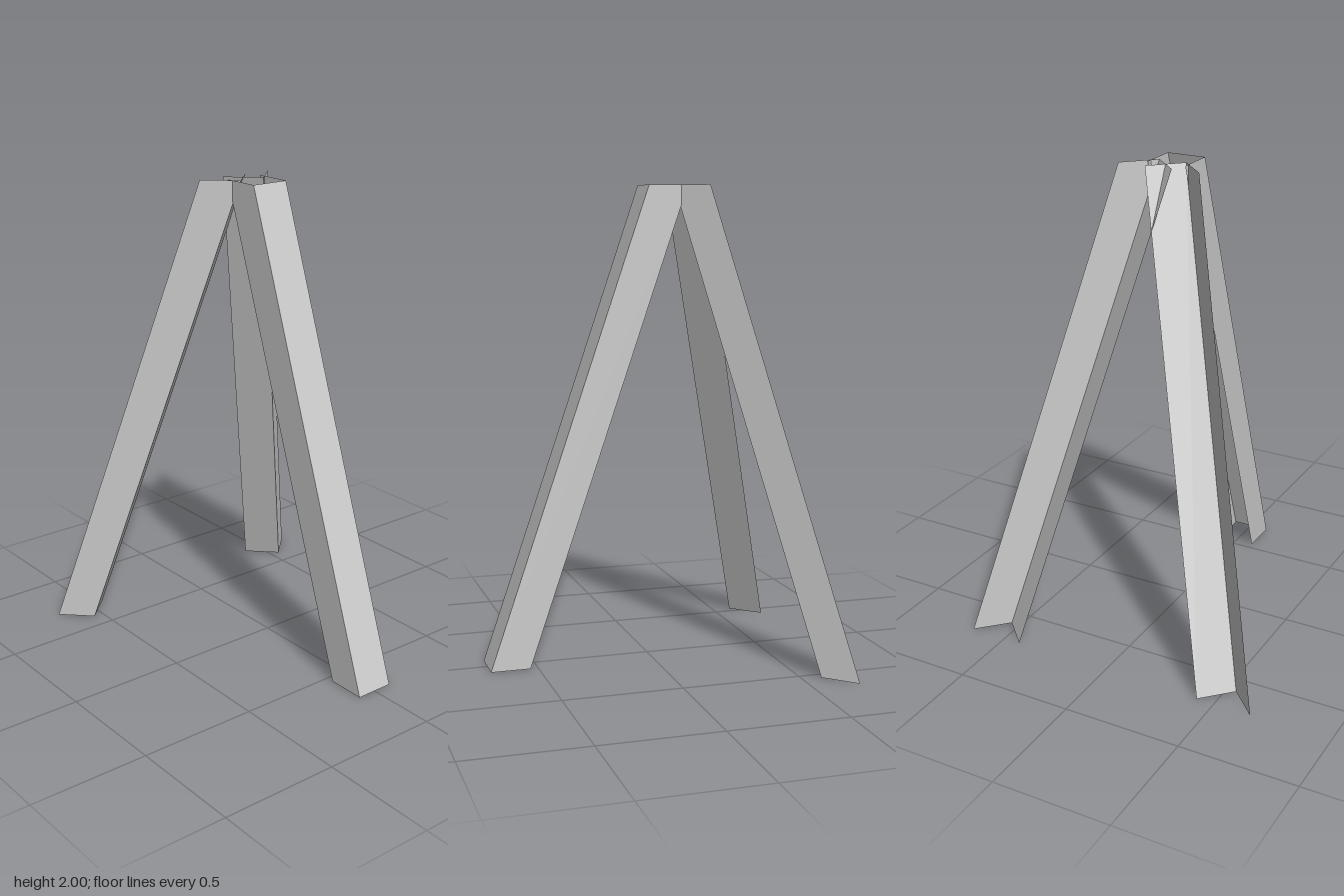
import * as THREE from 'three';

const HEIGHT = 2;
const material = new THREE.MeshStandardMaterial({
  color: 0xcccccc, flatShading: true, side: THREE.DoubleSide,
});

// Thin sheet leg: an open [x, z] profile on the ground, swept up to the top
// while sliding by [dx, dz], so both ends stay level.
function sheetLeg(name, profile, [dx, dz]) {
  const positions = [];
  for (let i = 0; i < profile.length - 1; i++) {
    const [ax, az] = profile[i];
    const [bx, bz] = profile[i + 1];
    const a = [ax, 0, az], b = [bx, 0, bz];
    const aTop = [ax + dx, HEIGHT, az + dz], bTop = [bx + dx, HEIGHT, bz + dz];
    positions.push(...a, ...b, ...bTop, ...a, ...bTop, ...aTop);
  }
  const geometry = new THREE.BufferGeometry();
  geometry.setAttribute('position', new THREE.Float32BufferAttribute(positions, 3));
  geometry.computeVertexNormals();
  const mesh = new THREE.Mesh(geometry, material);
  mesh.name = name;
  return mesh;
}

export function createModel() {
  const group = new THREE.Group();
  group.name = 'tripodStand';

  // Front leg: U channel, open towards the back
  const w = 0.083;
  group.add(sheetLeg('frontLeg',
    [[-w, 0.533], [-w, 0.7], [w, 0.7], [w, 0.533]], [0, -0.685]));

  // Back legs: L angles at 45 degrees, with the flange on the outer side
  for (const [name, s] of [['backLeftLeg', 1], ['backRightLeg', -1]]) {
    const profile = [[s * 0.424, -0.7], [s * 0.542, -0.582], [s * 0.66, -0.7]];
    group.add(sheetLeg(name, profile, [-s * 0.483, 0.483]));
  }
  return group;
}
